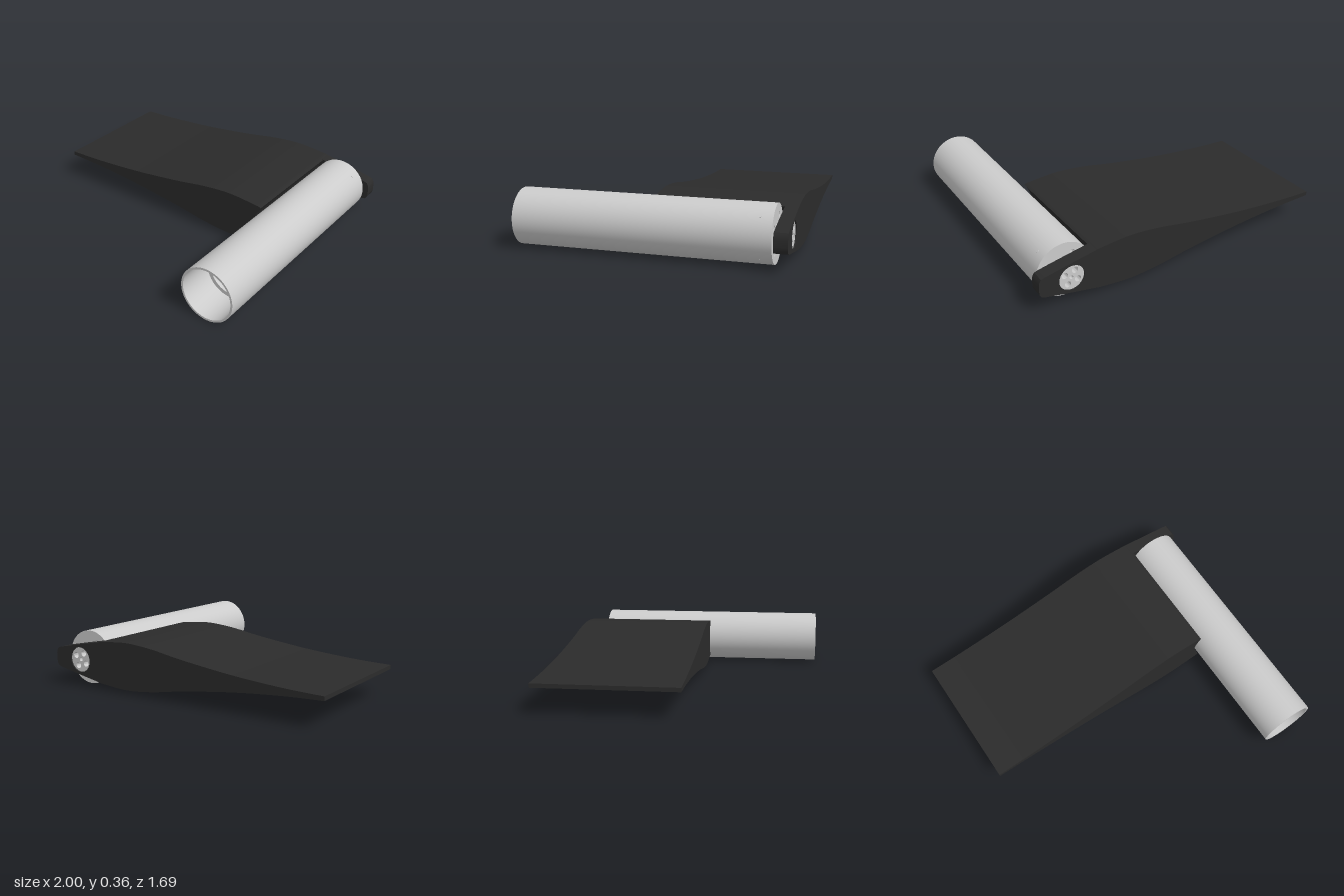
import * as THREE from 'three';
import { toCreasedNormals } from 'three/addons/utils/BufferGeometryUtils.js';

const CX = 0.79, CY = 0.185; // tube axis
const metal = new THREE.MeshStandardMaterial({ color: 0xcccccc });
const black = new THREE.MeshStandardMaterial({ color: 0x2b2b2b });

function circlePath(x, y, r) {
  return new THREE.Path().absarc(x, y, r, 0, Math.PI * 2, true);
}

// Extrudes a shape between two z positions
function slab(name, shape, z0, z1, material) {
  const raw = new THREE.ExtrudeGeometry(shape, { depth: z1 - z0, bevelEnabled: false, curveSegments: 32 });
  raw.translate(0, 0, z0);
  const mesh = new THREE.Mesh(toCreasedNormals(raw, 0.5), material);
  mesh.name = name;
  return mesh;
}

// Turned part on the tube axis, profile given as [radius, z]
function turned(name, profile) {
  const raw = new THREE.LatheGeometry(profile.map(([r, z]) => new THREE.Vector2(r, z)), 64);
  raw.rotateX(Math.PI / 2);
  const mesh = new THREE.Mesh(toCreasedNormals(raw, 0.5), metal);
  mesh.position.set(CX, CY, 0);
  mesh.name = name;
  return mesh;
}

// Round plate with a ring of screw holes and an optional centre hole
function drilledDisc(name, r, holeR, ringR, startAngle, centreR, z0, z1) {
  const shape = new THREE.Shape().absarc(0, 0, r, 0, Math.PI * 2, false);
  for (let i = 0; i < 4; i++) {
    const a = startAngle + i * Math.PI / 2;
    shape.holes.push(circlePath(ringR * Math.cos(a), ringR * Math.sin(a), holeR));
  }
  if (centreR) shape.holes.push(circlePath(0, 0, centreR));
  const mesh = slab(name, shape, z0, z1, metal);
  mesh.position.set(CX, CY, 0);
  return mesh;
}

export function createModel() {
  const model = new THREE.Group();
  model.name = 'paddleWithHandle';

  // Half thickness of the paddle along x
  const half = new THREE.SplineCurve([
    [-1, 0.013], [-0.8, 0.02], [-0.6, 0.033], [-0.4, 0.051], [-0.2, 0.075], [0, 0.103],
    [0.2, 0.136], [0.4, 0.152], [0.6, 0.137], [0.64, 0.13], [0.8, 0.1], [0.96, 0.068],
  ].map(([x, y]) => new THREE.Vector2(x, y)));
  const samples = half.getPoints(88);
  const upper = (xMax) => samples.filter((p) => p.x <= xMax).map((p) => new THREE.Vector2(p.x, CY + p.y));
  const flip = (pts) => pts.map((p) => new THREE.Vector2(p.x, 2 * CY - p.y));

  // Wide paddle body, its end hollowed to clear the tube
  const bodyTop = upper(0.635);
  const cut = [];
  for (let i = 0; i <= 24; i++) {
    const a = (220 - 80 * i / 24) * Math.PI / 180;
    cut.push(new THREE.Vector2(CX + 0.197 * Math.cos(a), CY + 0.197 * Math.sin(a)));
  }
  model.add(slab('paddleBody', new THREE.Shape([...flip(bodyTop), ...cut, ...bodyTop.reverse()]), -0.76, 0.05, black));

  // Thin side plate that carries the tube, with rounded nose
  const plateTop = upper(0.961);
  const nose = [[0.985, -0.06], [0.997, -0.04], [1, -0.02], [1, 0.02], [0.997, 0.04], [0.985, 0.06]]
    .map(([x, y]) => new THREE.Vector2(x, CY + y));
  const plate = new THREE.Shape([...flip(plateTop), ...nose, ...plateTop.reverse()]);
  plate.holes.push(circlePath(CX, CY, 0.082));
  model.add(slab('sidePlate', plate, -0.843, -0.76, black));

  // Hollow handle tube with an inner step
  model.add(turned('handleTube', [
    [0.165, -0.745], [0.178, -0.745], [0.178, 0.843], [0.165, 0.843], [0.165, 0.6],
    [0.14, 0.6], [0.14, 0.56], [0.165, 0.56], [0.165, -0.745],
  ]));

  // Drilled end cap and the hub standing inside it
  model.add(drilledDisc('endCap', 0.166, 0.016, 0.118, Math.PI / 6, 0, -0.745, -0.69));
  model.add(turned('hub', [
    [0.085, -0.7], [0.085, -0.66], [0.07, -0.66], [0.07, -0.64], [0.045, -0.64], [0.045, -0.68], [0, -0.68],
  ]));

  // Short shaft and the screw flange set into the plate
  model.add(turned('shaft', [[0, -0.79], [0.07, -0.79], [0.07, -0.74], [0, -0.74]]));
  model.add(drilledDisc('flange', 0.082, 0.02, 0.048, Math.PI / 6, 0.012, -0.835, -0.785));

  // Small set screws around the tube near the cap
  for (let i = 0; i < 4; i++) {
    const a = Math.PI / 4 + i * Math.PI / 2;
    const screw = new THREE.Mesh(new THREE.CylinderGeometry(0.009, 0.009, 0.02, 12), metal);
    screw.position.set(CX + 0.169 * Math.cos(a), CY + 0.169 * Math.sin(a), -0.67);
    screw.rotation.z = a - Math.PI / 2;
    screw.name = 'setScrew';
    model.add(screw);
  }
  return model;
}
